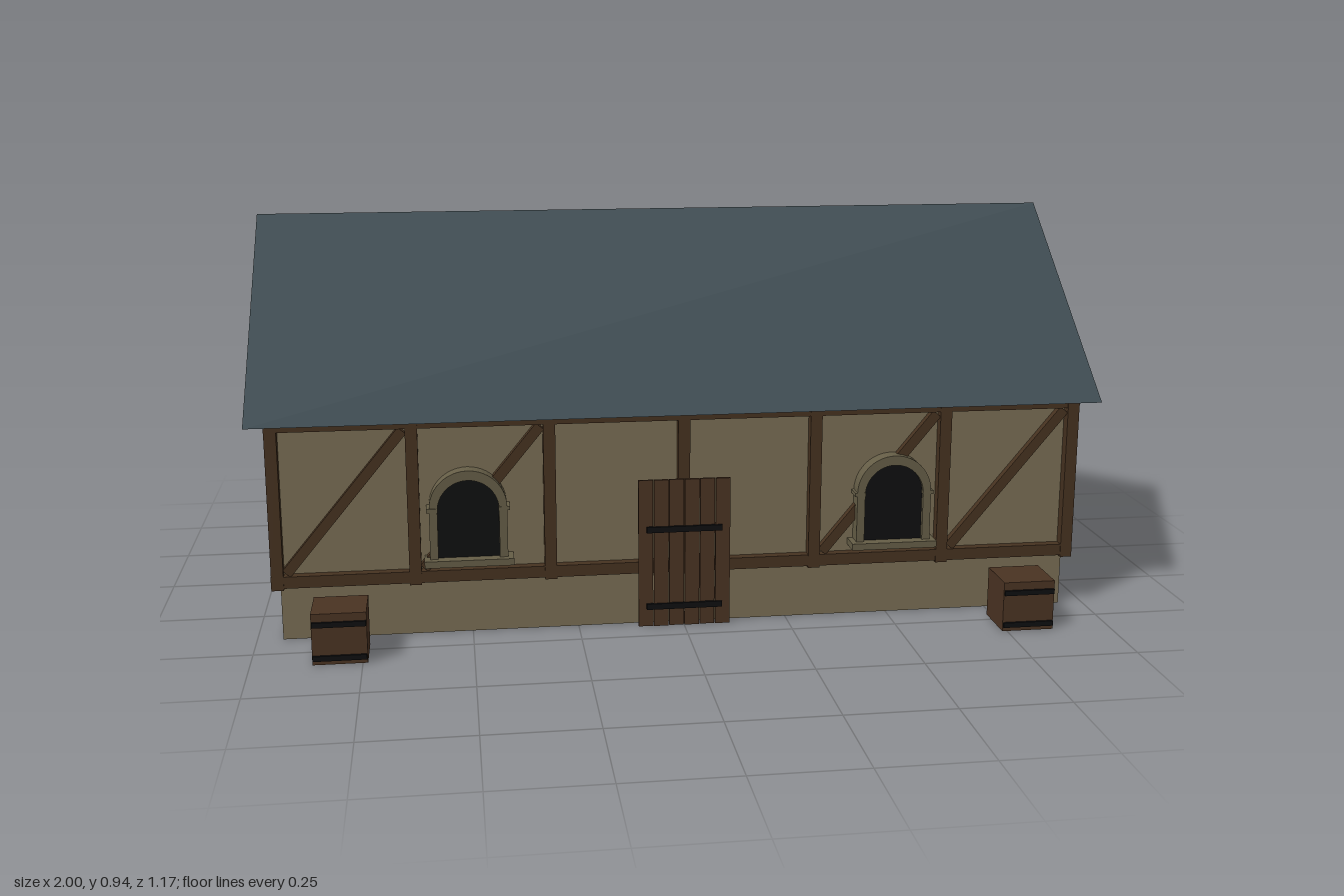
import * as THREE from 'three';

const mat = (name, color) => {
  const m = new THREE.MeshStandardMaterial({ color });
  m.name = name;
  return m;
};

export function createModel() {
  const house = new THREE.Group();
  house.name = 'house';
  const plaster = mat('plaster', 0x7a6e54);
  const slate = mat('slate', 0x3a484e);
  const timber = mat('timber', 0x463220);
  const plankWood = mat('plank wood', 0x4a3322);
  const stone = mat('stone', 0x665e47);
  const iron = mat('iron', 0x0e0f10);

  const add = (parent, name, geo, material) => {
    const mesh = new THREE.Mesh(geo, material);
    mesh.name = name;
    parent.add(mesh);
    return mesh;
  };
  // Box given by its lower and upper limits
  const box = (parent, name, material, x0, x1, y0, y1, z0, z1) => {
    const mesh = add(parent, name, new THREE.BoxGeometry(x1 - x0, y1 - y0, z1 - z0), material);
    mesh.position.set((x0 + x1) / 2, (y0 + y1) / 2, (z0 + z1) / 2);
    return mesh;
  };
  const group = (name) => {
    const g = new THREE.Group();
    g.name = name;
    house.add(g);
    return g;
  };

  // Walls: a plinth and a slightly narrower upper storey
  box(house, 'plinth', plaster, -0.94, 0.94, 0, 0.14, -0.53, 0.41);
  box(house, 'walls', plaster, -0.935, 0.935, 0.14, 0.53, -0.525, 0.405);

  // Roof: solid triangular prism along x
  const gable = new THREE.Shape([[-0.465, 0.52], [0.58, 0.52], [0.06, 0.94]].map((p) => new THREE.Vector2(...p)));
  const roof = new THREE.ExtrudeGeometry(gable, { depth: 2, bevelEnabled: false });
  roof.translate(0, 0, -1).rotateY(Math.PI / 2);
  add(house, 'roof', roof, slate);

  // Timber framing, front and back
  for (const side of [1, -1]) {
    const frame = group(side > 0 ? 'frontTimbers' : 'backTimbers');
    frame.position.z = -0.06;
    const layer = (near, far) => (side > 0 ? [near, far] : [-far, -near]);
    box(frame, 'bottomBeam', timber, -0.96, 0.96, 0.13, 0.158, ...layer(0.455, 0.488));
    box(frame, 'topBeam', timber, -0.96, 0.96, 0.5, 0.522, ...layer(0.455, 0.488));
    for (let i = -3; i <= 3; i++) {
      const x = i * 0.315;
      box(frame, 'post', timber, x - 0.014, x + 0.014, 0.126, 0.515, ...layer(0.46, 0.49));
    }
    // Diagonal braces in the two outer bays at each end
    for (const x of [-0.7875, -0.4725, 0.4725, 0.7875]) {
      const brace = add(frame, 'brace', new THREE.BoxGeometry(0.43, 0.024, 0.02), timber);
      brace.position.set(x, 0.329, side * 0.473);
      brace.rotation.z = Math.atan2(0.34, 0.28);
    }
  }

  // Plank door with iron straps
  const door = group('door');
  for (let i = 0; i < 6; i++) {
    const x = -0.11 + i * 0.0367;
    box(door, 'plank', plankWood, x + 0.001, x + 0.0357, 0, 0.36, 0.43, i % 2 ? 0.438 : 0.436);
  }
  for (const y of [0.05, 0.24]) box(door, 'strap', iron, -0.09, 0.09, y - 0.007, y + 0.007, 0.436, 0.443);

  // Arched outline standing on y = bottom
  const arch = (path, r, bottom, spring) => {
    path.moveTo(-r, bottom);
    path.lineTo(r, bottom);
    path.lineTo(r, spring);
    path.absarc(0, spring, r, 0, Math.PI, false);
    path.closePath();
    return path;
  };

  // Arched windows
  for (const x of [-0.505, 0.505]) {
    const win = group('window');
    win.position.x = x;
    const surround = arch(new THREE.Shape(), 0.09, 0.185, 0.31);
    surround.holes.push(arch(new THREE.Path(), 0.071, 0.19, 0.306));
    const surroundGeo = new THREE.ExtrudeGeometry(surround, { depth: 0.037, bevelEnabled: false, curveSegments: 12 });
    add(win, 'surround', surroundGeo, stone).position.z = 0.405;
    const pane = new THREE.ShapeGeometry(arch(new THREE.Shape(), 0.073, 0.187, 0.306), 12);
    add(win, 'pane', pane, iron).position.z = 0.431;
    box(win, 'sill', stone, -0.103, 0.103, 0.174, 0.19, 0.405, 0.458);
    for (const s of [-1, 1]) {
      box(win, 'impost', stone, s * 0.083 - 0.013, s * 0.083 + 0.013, 0.303, 0.312, 0.405, 0.444);
    }
  }

  // Crates with iron bands on the front
  for (const x of [-0.8, 0.8]) {
    const crate = group('crate');
    crate.position.x = x;
    box(crate, 'crateBody', plankWood, -0.0615, 0.0615, 0, 0.12, 0.466, 0.58);
    for (const y of [0.016, 0.095]) box(crate, 'band', iron, -0.06, 0.06, y - 0.006, y + 0.006, 0.579, 0.586);
  }
  return house;
}
